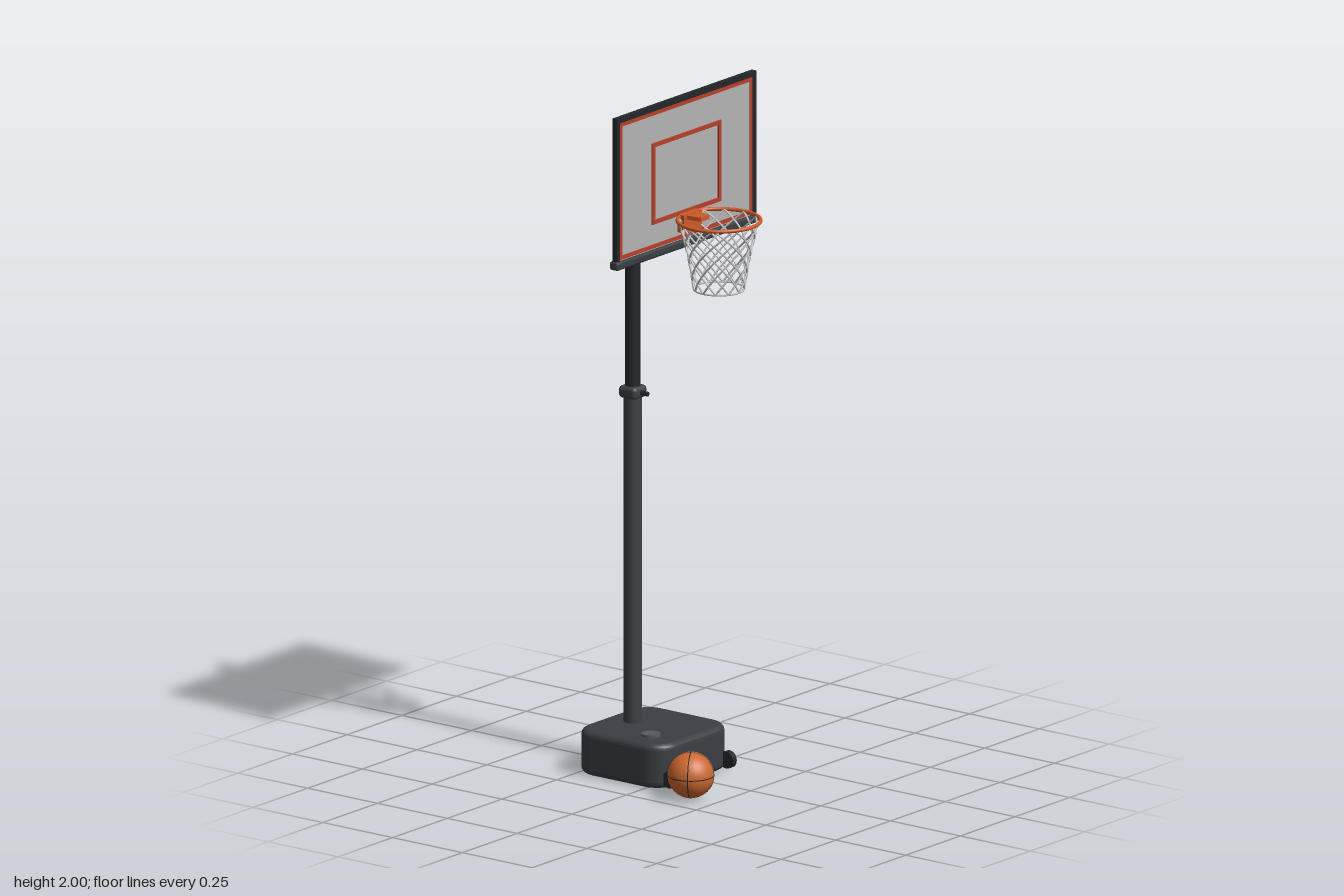
import * as THREE from 'three';
import { RoundedBoxGeometry } from 'three/addons/geometries/RoundedBoxGeometry.js';

const paint = (color) => new THREE.MeshStandardMaterial({ color });
const DARK = paint(0x3a3f43), POLE = paint(0x3c4145), BLACK = paint(0x24272a), METAL = paint(0x555a60);
const ORANGE = paint(0xcf5a28), RED = paint(0xb8402c), BALL = paint(0xcc682e), PANEL = paint(0xb4b4b4), NET = paint(0xcccccc);
const V = (x, y, z) => new THREE.Vector3(x, y, z);

export function createModel() {
  const model = new THREE.Group();
  model.name = 'basketballHoop';

  const add = (name, geometry, material, x = 0, y = 0, z = 0, parent = model) => {
    const mesh = new THREE.Mesh(geometry, material);
    mesh.name = name;
    mesh.position.set(x, y, z);
    parent.add(mesh);
    return mesh;
  };
  const group = (name) => {
    const g = new THREE.Group();
    g.name = name;
    model.add(g);
    return g;
  };
  // straight round bar between two points
  const bar = (name, a, b, r, material, parent, sides = 10) => {
    const mesh = add(name, new THREE.CylinderGeometry(r, r, a.distanceTo(b), sides), material, 0, 0, 0, parent);
    mesh.position.copy(a).lerp(b, 0.5);
    mesh.quaternion.setFromUnitVectors(V(0, 1, 0), b.clone().sub(a).normalize());
    return mesh;
  };
  // rectangular outline of a given line width, centred on its depth
  const outline = (name, w, h, line, depth, material, y, z, parent) => {
    const rect = (Type, a, b) => new Type([[-a, -b], [a, -b], [a, b], [-a, b]].map(([p, q]) => new THREE.Vector2(p, q)));
    const shape = rect(THREE.Shape, w / 2, h / 2);
    shape.holes.push(rect(THREE.Path, w / 2 - line, h / 2 - line));
    const geo = new THREE.ExtrudeGeometry(shape, { depth, bevelEnabled: false });
    geo.translate(0, 0, -depth / 2);
    return add(name, geo, material, 0, y, z, parent);
  };

  // base tank: rounded footprint with soft upper and lower edges
  const bevel = 0.018, hw = 0.166 - bevel, hd = 0.161 - bevel, r = 0.05;
  const foot = new THREE.Shape();
  foot.absarc(hw - r, hd - r, r, 0, Math.PI / 2);
  foot.absarc(-hw + r, hd - r, r, Math.PI / 2, Math.PI);
  foot.absarc(-hw + r, -hd + r, r, Math.PI, Math.PI * 1.5);
  foot.absarc(hw - r, -hd + r, r, Math.PI * 1.5, Math.PI * 2);
  const tank = new THREE.ExtrudeGeometry(foot, {
    depth: 0.13 - 2 * bevel, bevelThickness: bevel, bevelSize: bevel, bevelSegments: 4, curveSegments: 8,
  });
  tank.rotateX(-Math.PI / 2);
  add('base', tank, DARK, 0, bevel, -0.101);
  add('fillCap', new THREE.CylinderGeometry(0.027, 0.027, 0.016, 24), METAL, -0.088, 0.13, -0.038);

  // transport wheels
  for (const side of [-1, 1]) {
    const wheel = add(side > 0 ? 'leftWheel' : 'rightWheel', new THREE.CylinderGeometry(0.025, 0.025, 0.018, 20), BLACK, side * 0.13, 0.03, 0.066);
    wheel.rotation.z = Math.PI / 2;
  }

  // telescopic pole
  const pz = -0.173;
  bar('lowerPole', V(0, 0.12, pz), V(0, 1.09, pz), 0.026, POLE, model, 24);
  bar('upperPole', V(0, 1.09, pz), V(0, 1.815, pz), 0.022, BLACK, model, 24);
  add('collar', new RoundedBoxGeometry(0.062, 0.036, 0.062, 3, 0.012), POLE, 0, 1.098, pz);
  bar('collarPin', V(0, 1.098, pz + 0.02), V(0, 1.098, -0.118), 0.007, BLACK, model);
  add('poleCap', new THREE.CylinderGeometry(0.029, 0.031, 0.018, 24), METAL, 0, 1.816, pz);

  // bent support arms and brace
  const arms = group('supportArms');
  for (const [name, yBoard, yPole] of [['upperArm', 1.865, 1.787], ['lowerArm', 1.672, 1.627]]) {
    const bend = V(0, yPole, -0.115);
    bar(name, V(0, yBoard, -0.006), bend, 0.012, BLACK, arms);
    bar(name + 'Mount', bend, V(0, yPole, pz), 0.012, BLACK, arms);
    add(name + 'Elbow', new THREE.SphereGeometry(0.012, 10, 8), BLACK, 0, yPole, -0.115, arms);
  }
  bar('brace', V(0, 1.812, -0.075), V(0, 1.66, -0.105), 0.008, BLACK, arms);

  // backboard: panel, frame, painted lines and bottom pad
  const board = group('backboard');
  const bz = 0.0115;
  add('panel', new THREE.BoxGeometry(0.62, 0.415, 0.011), PANEL, 0, 1.782, bz, board);
  outline('frame', 0.638, 0.436, 0.015, 0.016, BLACK, 1.782, bz, board);
  outline('borderLine', 0.608, 0.402, 0.012, 0.0135, RED, 1.784, bz, board);
  outline('targetLine', 0.314, 0.238, 0.012, 0.006, RED, 1.773, 0.0185, board);
  add('bottomPad', new RoundedBoxGeometry(0.648, 0.025, 0.031, 2, 0.007), DARK, 0, 1.568, 0.011, board);

  // rim and its bracket
  const hoop = group('hoop');
  const rimY = 1.653, rimZ = 0.136;
  add('rim', new THREE.TorusGeometry(0.1175, 0.0055, 10, 48), ORANGE, 0, rimY, rimZ, hoop).rotation.x = Math.PI / 2;
  add('bracket', new THREE.BoxGeometry(0.082, 0.052, 0.023), ORANGE, 0, 1.633, 0.0305, hoop);
  const tongue = new THREE.Shape([[-0.027, 0.04], [0.027, 0.04], [0.019, 0.087], [-0.019, 0.087]].map(([x, z]) => new THREE.Vector2(x, z)));
  add('tongue', new THREE.ExtrudeGeometry(tongue, { depth: 0.012, bevelEnabled: false }).rotateX(Math.PI / 2), ORANGE, 0, 1.656, 0, hoop);

  // net: crossing spiral cords that taper to a lower ring
  const net = group('net');
  const cords = 12, drop = 0.2, twist = Math.PI * 2 / 3;
  for (let i = 0; i < cords; i++) {
    for (const dir of [-1, 1]) {
      const points = [];
      for (let k = 0; k <= 8; k++) {
        const t = k / 8, a = (i / cords) * Math.PI * 2 + dir * t * twist;
        const radius = 0.114 - 0.042 * t - 0.004 * Math.sin(t * Math.PI);
        points.push(V(Math.cos(a) * radius, rimY - drop * t, rimZ + Math.sin(a) * radius));
      }
      add('cord', new THREE.TubeGeometry(new THREE.CatmullRomCurve3(points), 20, 0.003, 5), NET, 0, 0, 0, net);
    }
  }
  add('netRing', new THREE.TorusGeometry(0.072, 0.003, 5, 36), NET, 0, rimY - drop, rimZ, net).rotation.x = Math.PI / 2;

  // ball with three crossing seams
  const ball = group('ball');
  ball.position.set(-0.163, 0.068, 0.1625);
  ball.rotation.y = Math.PI / 6;
  add('ballSkin', new THREE.SphereGeometry(0.066, 32, 24), BALL, 0, 0, 0, ball);
  for (const [x, y] of [[0, 0], [Math.PI / 2, 0], [0, Math.PI / 2]]) {
    add('seam', new THREE.TorusGeometry(0.0653, 0.0016, 6, 48), BLACK, 0, 0, 0, ball).rotation.set(x, y, 0);
  }
  return model;
}
